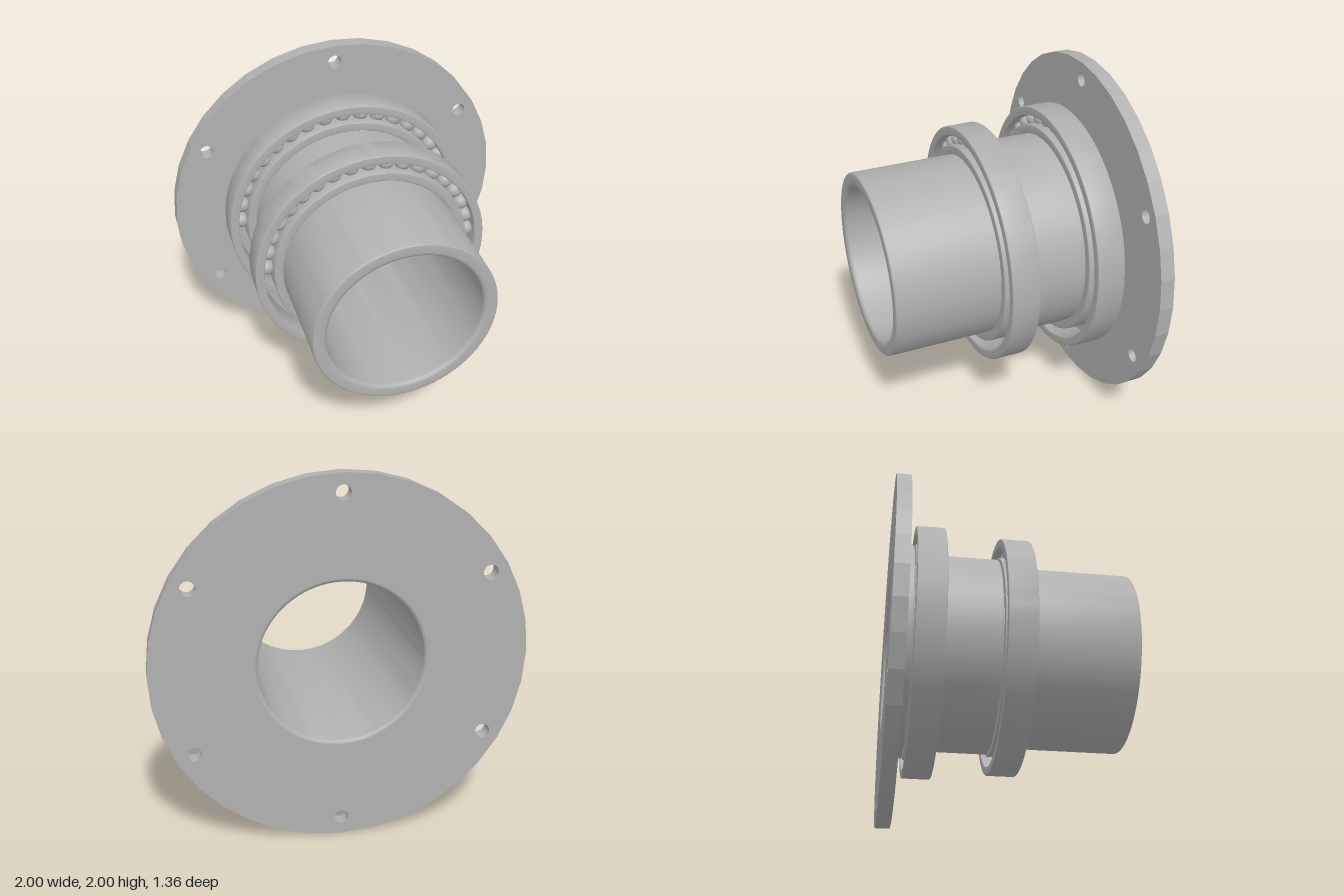
import * as THREE from 'three';
import { toCreasedNormals } from 'three/addons/utils/BufferGeometryUtils.js';

const steel = new THREE.MeshStandardMaterial({ color: 0xb0b0b0 });
steel.name = 'steel grey';

// Closed profile of [radius, z, fillet] corners, counter-clockwise, turned about the z axis
function turned(name, corners) {
  const points = [];
  corners.forEach(([r, z, fillet = 0], i) => {
    const corner = new THREE.Vector2(r, z);
    if (!fillet) return points.push(corner);
    const towards = (n) => {
      const [nr, nz] = corners[(n + corners.length) % corners.length];
      return new THREE.Vector2(nr, nz).sub(corner).setLength(fillet);
    };
    const a = towards(i - 1), b = towards(i + 1);
    const centre = corner.clone().add(a).add(b);
    for (let k = 0; k <= 4; k++) {
      const t = (k / 4) * Math.PI / 2;
      points.push(centre.clone().addScaledVector(b, -Math.cos(t)).addScaledVector(a, -Math.sin(t)));
    }
  });
  points.push(points[0].clone());
  const geometry = new THREE.LatheGeometry(points, 72).rotateX(Math.PI / 2);
  const mesh = new THREE.Mesh(toCreasedNormals(geometry, 0.6), steel);
  mesh.name = name;
  return mesh;
}

function circle(radius, sides, x = 0, y = 0) {
  return Array.from({ length: sides }, (_, i) => {
    const a = (i / sides) * Math.PI * 2;
    return new THREE.Vector2(x + radius * Math.cos(a), y + radius * Math.sin(a));
  });
}

// Faceted mounting plate with central bore and six bolt holes
function flange() {
  const shape = new THREE.Shape(circle(1, 36));
  shape.holes.push(new THREE.Path(circle(0.46, 72)));
  for (let i = 0; i < 6; i++) {
    const a = Math.PI / 6 + (i * Math.PI) / 3;
    shape.holes.push(new THREE.Path(circle(0.04, 24, 0.9 * Math.cos(a), 0.9 * Math.sin(a))));
  }
  const geometry = new THREE.ExtrudeGeometry(shape, { depth: 0.08, bevelEnabled: false });
  const mesh = new THREE.Mesh(geometry.translate(0, 0, -0.68), steel);
  mesh.name = 'flange';
  return mesh;
}

// Ball bearing: two races and a row of balls over the upper half
function bearing(name, bore, outer, back, front) {
  const group = new THREE.Group();
  group.name = name;
  const race = (label, r0, r1) => turned(label, [
    [r0, back, 0.006], [r1, back, 0.006], [r1, front, 0.006], [r0, front, 0.006],
  ]);
  group.add(race('innerRace', bore, bore + 0.052), race('outerRace', outer - 0.052, outer));
  const ballGeometry = new THREE.SphereGeometry(0.046, 20, 14);
  const orbit = (bore + outer) / 2;
  for (let i = -9; i <= 9; i++) {
    const a = THREE.MathUtils.degToRad(90 + i * 9.7);
    const ball = new THREE.Mesh(ballGeometry, steel);
    ball.name = 'ball';
    ball.position.set(orbit * Math.cos(a), orbit * Math.sin(a), (back + front) / 2);
    group.add(ball);
  }
  return group;
}

export function createModel() {
  const model = new THREE.Group();
  model.name = 'flangedHub';
  const hub = new THREE.Group();
  hub.name = 'hub';
  hub.position.y = 1;

  // Stepped hollow shaft
  hub.add(turned('shaft', [
    [0.44, -0.68, 0.02], [0.46, -0.68], [0.46, -0.6], [0.605, -0.6], [0.605, -0.555, 0.006],
    [0.56, -0.555], [0.56, -0.075, 0.008], [0.52, -0.075], [0.52, 0.68, 0.01], [0.44, 0.68, 0.025],
  ]));
  hub.add(flange());
  hub.add(bearing('frontBearing', 0.52, 0.68, -0.07, 0.09));
  hub.add(bearing('rearBearing', 0.56, 0.717, -0.55, -0.39));

  model.add(hub);
  return model;
}
